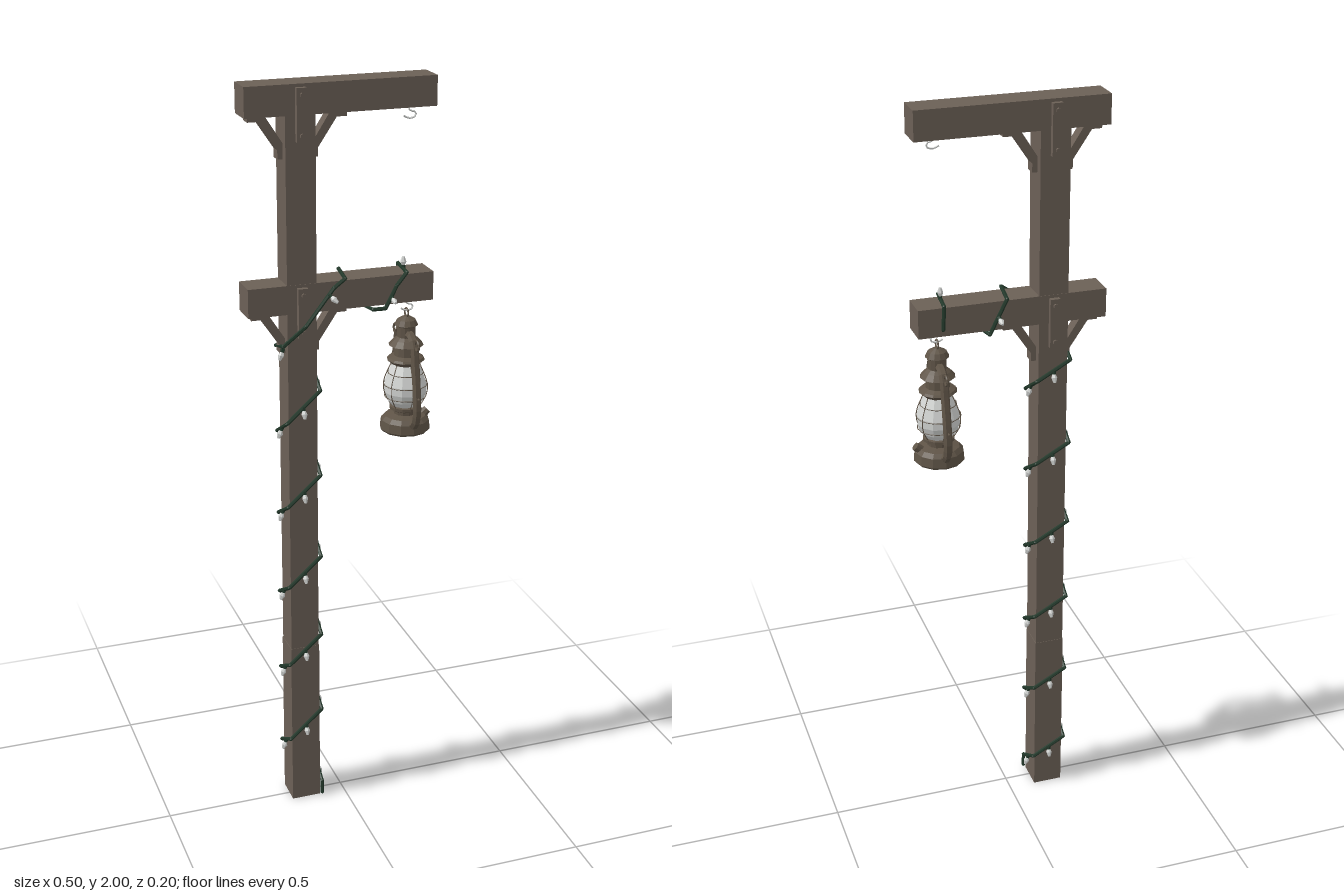
import * as THREE from 'three';

const mat = (name, color) => Object.assign(new THREE.MeshStandardMaterial({ color }), { name });

// split faces so every facet is flat
function facet(geo) {
  const g = geo.index ? geo.toNonIndexed() : geo;
  g.computeVertexNormals();
  return g;
}

export function createModel() {
  const wood = mat('weathered wood', 0x6b6056);
  const metal = mat('aged lantern metal', 0x5f5447);
  const green = mat('green wire', 0x22382a);
  const glass = mat('pale glass', 0xd2d4d2);
  glass.side = THREE.DoubleSide;

  const root = new THREE.Group();
  root.name = 'lanternPost';
  const V = (x, y, z) => new THREE.Vector3(x, y, z);

  function add(parent, name, geo, material, x = 0, y = 0, z = 0) {
    const m = new THREE.Mesh(facet(geo), material);
    m.name = name;
    m.position.set(x, y, z);
    parent.add(m);
    return m;
  }
  // tapered rod between two points
  function rod(parent, name, a, b, r0, r1, material, sides = 6) {
    const d = b.clone().sub(a);
    const m = add(parent, name, new THREE.CylinderGeometry(r1, r0, d.length(), sides), material);
    m.position.copy(a).addScaledVector(d, 0.5);
    m.quaternion.setFromUnitVectors(V(0, 1, 0), d.normalize());
    return m;
  }

  // post in two lengths
  const px = -0.112, pz = -0.006;
  add(root, 'lowerPost', new THREE.BoxGeometry(0.08, 0.48, 0.078), wood, px, 0.24, pz);
  add(root, 'upperPost', new THREE.BoxGeometry(0.077, 1.46, 0.076), wood, px, 1.21, pz);

  // crossbeams with angled braces and side straps
  const brace = new THREE.Shape([[0.088, 0], [0.045, 0], [0, -0.07], [0, -0.108], [0.014, -0.108],
    [0.014, -0.085], [0.062, -0.014], [0.088, -0.014]].map(p => new THREE.Vector2(...p)));
  for (const top of [2, 1.505]) {
    const arm = new THREE.Group();
    arm.name = top === 2 ? 'upperArm' : 'lowerArm';
    root.add(arm);
    add(arm, 'crossbeam', new THREE.BoxGeometry(0.492, 0.075, 0.078), wood, -0.006, top - 0.0375, pz);
    for (const s of [1, -1]) {
      const g = new THREE.ExtrudeGeometry(brace, { depth: 0.032, bevelEnabled: false });
      g.translate(0, 0, -0.016);
      const b = add(arm, 'brace', g, wood, px + s * 0.038, top - 0.075, pz);
      if (s < 0) b.rotation.y = Math.PI;
      const face = pz + s * 0.045;
      add(arm, 'strap', new THREE.BoxGeometry(0.026, 0.13, 0.014), wood, px, top - 0.073, face);
      for (const y of [-0.025, -0.122]) {
        const bolt = add(arm, 'bolt', new THREE.CylinderGeometry(0.006, 0.006, 0.012, 6), wood,
          px, top + y, face + s * 0.006);
        bolt.rotation.x = Math.PI / 2;
      }
    }
    // hook beneath the beam
    const hook = new THREE.CatmullRomCurve3([V(0, 0.004, 0), V(0, -0.012, 0), V(0.016, -0.018, 0),
      V(0.016, -0.028, 0), V(0, -0.032, 0), V(-0.014, -0.026, 0)]);
    add(arm, 'hook', new THREE.TubeGeometry(hook, 10, 0.0025, 5), glass, 0.18, top - 0.075, 0);
  }

  // lantern
  const lantern = new THREE.Group();
  lantern.name = 'lantern';
  lantern.position.set(0.181, 1.07, 0);
  root.add(lantern);
  const lathe = (name, pts, material) => add(lantern, name,
    new THREE.LatheGeometry(pts.map(p => new THREE.Vector2(...p)), 12), material);
  lathe('fuelBase', [[0, 0], [0.062, 0], [0.067, 0.006], [0.064, 0.03], [0.054, 0.041], [0.03, 0.046], [0, 0.046]], metal);
  lathe('burner', [[0.03, 0.044], [0.03, 0.054], [0.042, 0.06], [0.042, 0.068], [0.02, 0.075], [0.012, 0.095], [0, 0.095]], metal);
  lathe('globe', [[0.034, 0.068], [0.048, 0.085], [0.056, 0.108], [0.056, 0.13], [0.046, 0.16], [0.032, 0.19]], glass);
  lathe('chimney', [[0, 0.184], [0.036, 0.184], [0.05, 0.196], [0.046, 0.202], [0.032, 0.208], [0.03, 0.23],
    [0.046, 0.236], [0.034, 0.25], [0.024, 0.258], [0.024, 0.286], [0.031, 0.29], [0.024, 0.304], [0.008, 0.313], [0, 0.313]], metal);
  rod(lantern, 'fillerCap', V(0.046, 0.032, 0), V(0.063, 0.047, 0), 0.013, 0.011, metal, 8);
  // guard wires round the globe
  for (const [r, y] of [[0.055, 0.095], [0.058, 0.128], [0.047, 0.16]]) {
    add(lantern, 'guardRing', new THREE.TorusGeometry(r, 0.0013, 4, 16), metal, 0, y, 0).rotation.x = Math.PI / 2;
  }
  for (let i = 0; i < 6; i++) {
    const a = (i + 0.5) * Math.PI / 3;
    const at = (r, y) => V(r * Math.cos(a), y, r * Math.sin(a));
    const path = new THREE.CatmullRomCurve3([at(0.038, 0.066), at(0.056, 0.1), at(0.058, 0.13), at(0.036, 0.188)]);
    add(lantern, 'guardWire', new THREE.TubeGeometry(path, 8, 0.0013, 4), metal);
  }
  for (const s of [1, -1]) {
    // side air tube
    const path = new THREE.CatmullRomCurve3([V(0, 0.03, s * 0.05), V(0, 0.036, s * 0.072), V(0, 0.065, s * 0.085),
      V(0, 0.115, s * 0.083), V(0, 0.2, s * 0.068), V(0, 0.25, s * 0.057), V(0, 0.266, s * 0.042), V(0, 0.268, s * 0.018)]);
    add(lantern, 'airTube', new THREE.TubeGeometry(path, 16, 0.0115, 6), metal);
    // handle ear
    add(lantern, 'handleEar', new THREE.TorusGeometry(0.013, 0.003, 5, 10), metal, 0, 0.255, s * 0.077).rotation.y = Math.PI / 2;
    rod(lantern, 'handlePin', V(0, 0.115, s * 0.09), V(0, 0.115, s * 0.102), 0.003, 0.002, metal);
  }
  // top loop hanging on the hook
  add(lantern, 'hangingLoop', new THREE.TorusGeometry(0.012, 0.0025, 5, 10), metal, 0, 0.322, 0).rotation.y = Math.PI / 2;

  // string of lights: square spiral up the post, then round the lower arm
  const lights = new THREE.Group();
  lights.name = 'stringLights';
  root.add(lights);
  const bulb = (p, dir) => {
    const d = dir.clone().normalize();
    const neck = p.clone().addScaledVector(d, 0.009);
    rod(lights, 'bulbSocket', p, neck, 0.006, 0.005, green, 5);
    const belly = neck.clone().addScaledVector(d, 0.009);
    rod(lights, 'bulb', neck, belly, 0.0045, 0.008, glass);
    rod(lights, 'bulbTip', belly, belly.clone().addScaledVector(d, 0.013), 0.008, 0.0035, glass);
  };
  const xl = -0.157, xr = -0.067, zf = 0.038, zb = -0.05;
  const path = [];
  for (let k = 0; k < 6; k++) {
    const y = 0.045 + k * 0.235;
    path.push(V(xr, y, zf), V(xr, y + 0.055, zb), V(xl, y + 0.105, zb));
    if (k < 5) path.push(V(xl, y + 0.155, zf));
  }
  const wraps = path.length;
  path.unshift(V(xr, 0.005, zf));
  path.push(V(-0.165, 1.35, 0.04), V(-0.112, 1.405, 0.064), V(-0.03, 1.49, 0.04), V(0, 1.511, 0.038),
    V(0.013, 1.511, -0.051), V(0.058, 1.422, -0.051), V(0.075, 1.422, 0.038), V(0.108, 1.422, 0.04),
    V(0.138, 1.48, 0.04), V(0.165, 1.511, 0.038), V(0.175, 1.511, -0.051), V(0.178, 1.45, -0.051));
  for (let i = 1; i < path.length; i++) {
    rod(lights, 'wire', path[i - 1], path[i], 0.005, 0.005, green);
    add(lights, 'wireBend', new THREE.IcosahedronGeometry(0.0055, 0), green, path[i].x, path[i].y, path[i].z);
    // one bulb on each wrapped face of the post
    if (i > 1 && i <= wraps) {
      const mid = path[i - 1].clone().lerp(path[i], 0.5);
      const out = V(mid.x - px, 0, mid.z - pz).normalize();
      bulb(mid, out.multiplyScalar(0.35).add(V(0, -1, 0)));
    }
  }
  bulb(V(-0.165, 1.345, 0.04), V(-0.4, -1, 0.1));
  bulb(V(-0.045, 1.475, 0.044), V(0.5, -0.5, 0.6));
  bulb(V(0.035, 1.465, -0.054), V(0, -0.2, -1));
  bulb(V(0.123, 1.45, 0.042), V(0, -0.2, 1));
  bulb(V(0.17, 1.511, 0), V(0, 1, 0));
  return root;
}
